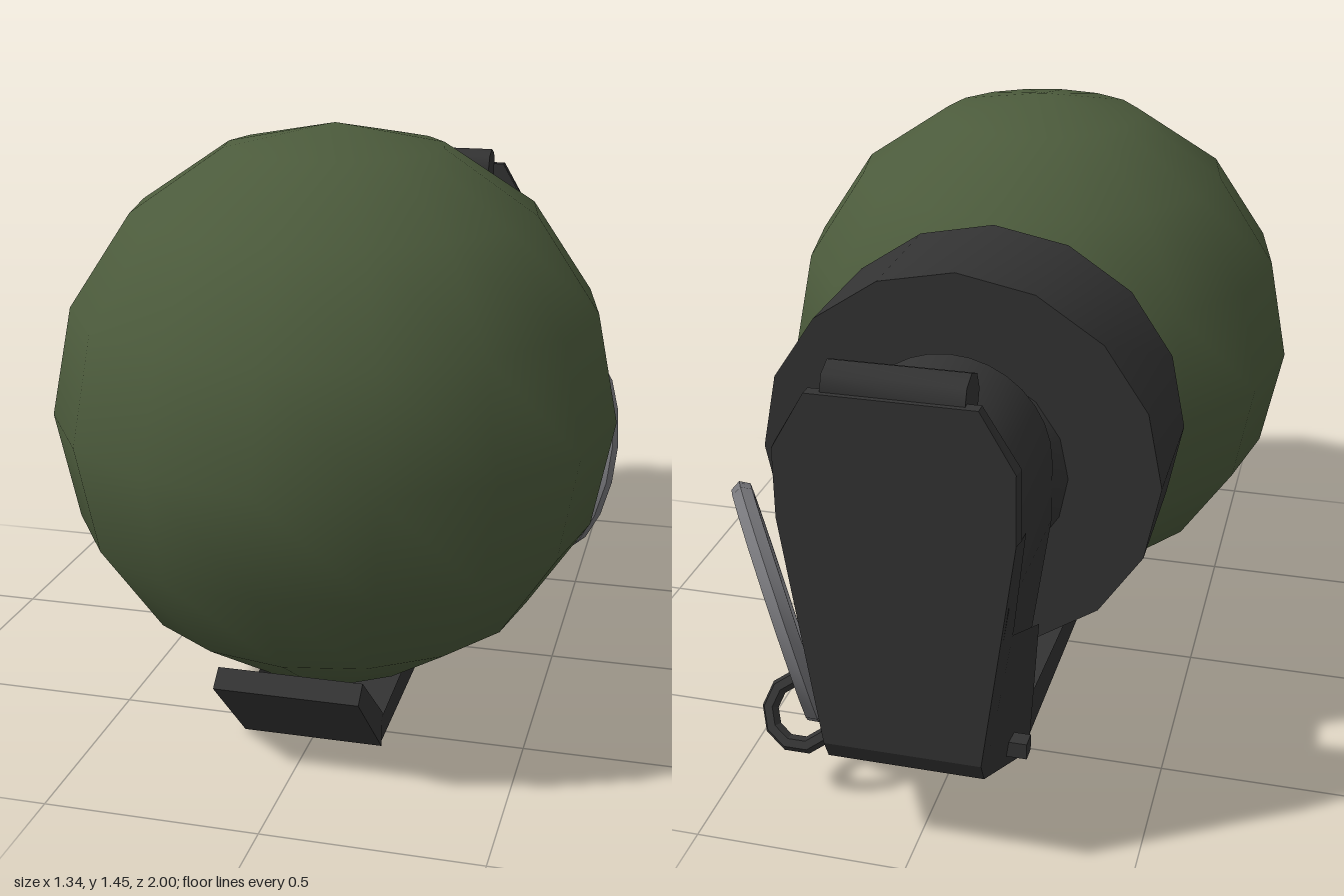
import * as THREE from 'three';
import { toCreasedNormals } from 'three/addons/utils/BufferGeometryUtils.js';

function material(name, color, side = THREE.FrontSide) {
  const m = new THREE.MeshStandardMaterial({ color, side });
  m.name = name;
  return m;
}

export function createModel() {
  const group = new THREE.Group();
  const green = material('olive green', 0x4c5b3c);
  const dark = material('dark metal', 0x333333, THREE.DoubleSide);
  const steel = material('grey steel', 0x77777b);

  const add = (name, geometry, mat, x = 0, y = 0, z = 0) => {
    const mesh = new THREE.Mesh(geometry, mat);
    mesh.name = name;
    mesh.position.set(x, y, z);
    group.add(mesh);
    return mesh;
  };

  // Round body
  add('body', new THREE.SphereGeometry(0.67, 16, 8), green, 0, 0.775, 0.33);

  // Collar and neck, running along z
  const drum = (name, rBack, rFront, zBack, zFront) => {
    const g = new THREE.CylinderGeometry(rFront, rBack, zFront - zBack, 16);
    g.rotateX(Math.PI / 2);
    add(name, toCreasedNormals(g, 0.6), dark, 0, 0.775, (zBack + zFront) / 2);
  };
  drum('collar', 0.475, 0.475, -0.52, -0.18);
  drum('neck', 0.235, 0.26, -0.58, -0.52);

  // Fuze housing with a round top and a narrowing foot
  const housing = new THREE.Shape();
  housing.moveTo(-0.165, 0.27);
  housing.lineTo(0.165, 0.27);
  housing.lineTo(0.19, 0.4);
  housing.lineTo(0.235, 0.7);
  housing.absarc(0, 0.845, 0.235, 0, Math.PI, false);
  housing.lineTo(-0.235, 0.7);
  housing.lineTo(-0.19, 0.4);
  housing.closePath();
  const housingGeo = new THREE.ExtrudeGeometry(housing, { depth: 0.4, bevelEnabled: false, curveSegments: 8 });
  add('fuzeHousing', toCreasedNormals(housingGeo, 0.6), dark, 0, 0, -0.975);

  // Folded lever: each row is the outer fold (z, y, half width) and the flange edge (z, y, half width)
  const rows = [
    [0.57, 0.0, 0.165, 0.57, 0.08, 0.172],
    [-0.55, 0.05, 0.17, -0.55, 0.2, 0.185],
    [-0.55, 0.03, 0.178, -0.55, 0.4, 0.202],
    [-0.97, 0.26, 0.178, -0.93, 0.61, 0.232],
    [-0.995, 0.31, 0.178, -0.93, 0.63, 0.235],
    [-0.995, 0.86, 0.255, -0.93, 0.86, 0.26],
    [-0.995, 0.86, 0.255, -0.967, 0.86, 0.26],
    [-0.995, 1.02, 0.255, -0.967, 1.02, 0.26],
    [-0.995, 1.15, 0.18, -0.967, 1.15, 0.18],
    [-0.967, 1.15, 0.18, -0.967, 1.15, 0.18],
    [-0.967, 1.02, 0.255, -0.967, 1.02, 0.255],
    [-0.967, 0.86, 0.255, -0.967, 0.86, 0.255],
  ];
  const section = ([z, y, w, fz, fy, fw]) => [[-fw, fy, fz], [-w, y, z], [w, y, z], [fw, fy, fz]];
  const points = [];
  for (let i = 0; i < rows.length - 1; i++) {
    const a = section(rows[i]), b = section(rows[i + 1]);
    for (let j = 0; j < 3; j++) {
      points.push(...a[j], ...b[j], ...a[j + 1], ...a[j + 1], ...b[j], ...b[j + 1]);
    }
  }
  const lever = new THREE.BufferGeometry();
  lever.setAttribute('position', new THREE.Float32BufferAttribute(points, 3));
  lever.computeVertexNormals();
  add('lever', lever, dark);

  // Upturned lip at the lever's front end; profile drawn as (-z, y)
  const lip = new THREE.Shape([[-0.57, 0], [-0.79, 0.22], [-0.75, 0.255], [-0.56, 0.085]]
    .map(([x, y]) => new THREE.Vector2(x, y)));
  const lipGeo = new THREE.ExtrudeGeometry(lip, { depth: 0.34, bevelEnabled: false });
  lipGeo.translate(0, 0, -0.17);
  lipGeo.rotateY(Math.PI / 2);
  add('leverLip', lipGeo, dark);

  // Hinge roller on top
  const roller = new THREE.CylinderGeometry(0.055, 0.055, 0.3, 8);
  roller.rotateZ(Math.PI / 2);
  add('hingeRoller', toCreasedNormals(roller, 0.9), dark, 0, 1.145, -0.93);

  // Safety pin through the lever flanges
  add('safetyPin', new THREE.BoxGeometry(0.48, 0.04, 0.04), dark, 0.01, 0.21, -0.77);

  // Rings, each set in the plane of two directions
  const ring = (name, radius, tube, sides, segments, mat, centre, u, v) => {
    const mesh = add(name, toCreasedNormals(new THREE.TorusGeometry(radius, tube, sides, segments), 0.5), mat, ...centre);
    const U = new THREE.Vector3(...u).normalize();
    const N = new THREE.Vector3().crossVectors(U, new THREE.Vector3(...v)).normalize();
    const V = new THREE.Vector3().crossVectors(N, U);
    mesh.quaternion.setFromRotationMatrix(new THREE.Matrix4().makeBasis(U, V, N));
  };
  ring('pullRing', 0.28, 0.028, 6, 18, steel, [0.44, 0.385, -0.58], [0.5, 0, 0.866], [0.19, 0.975, -0.11]);
  ring('linkRing', 0.08, 0.02, 6, 10, dark, [0.315, 0.22, -0.775], [1, 0, 0], [0, 0.85, 0.52]);

  return group;
}
